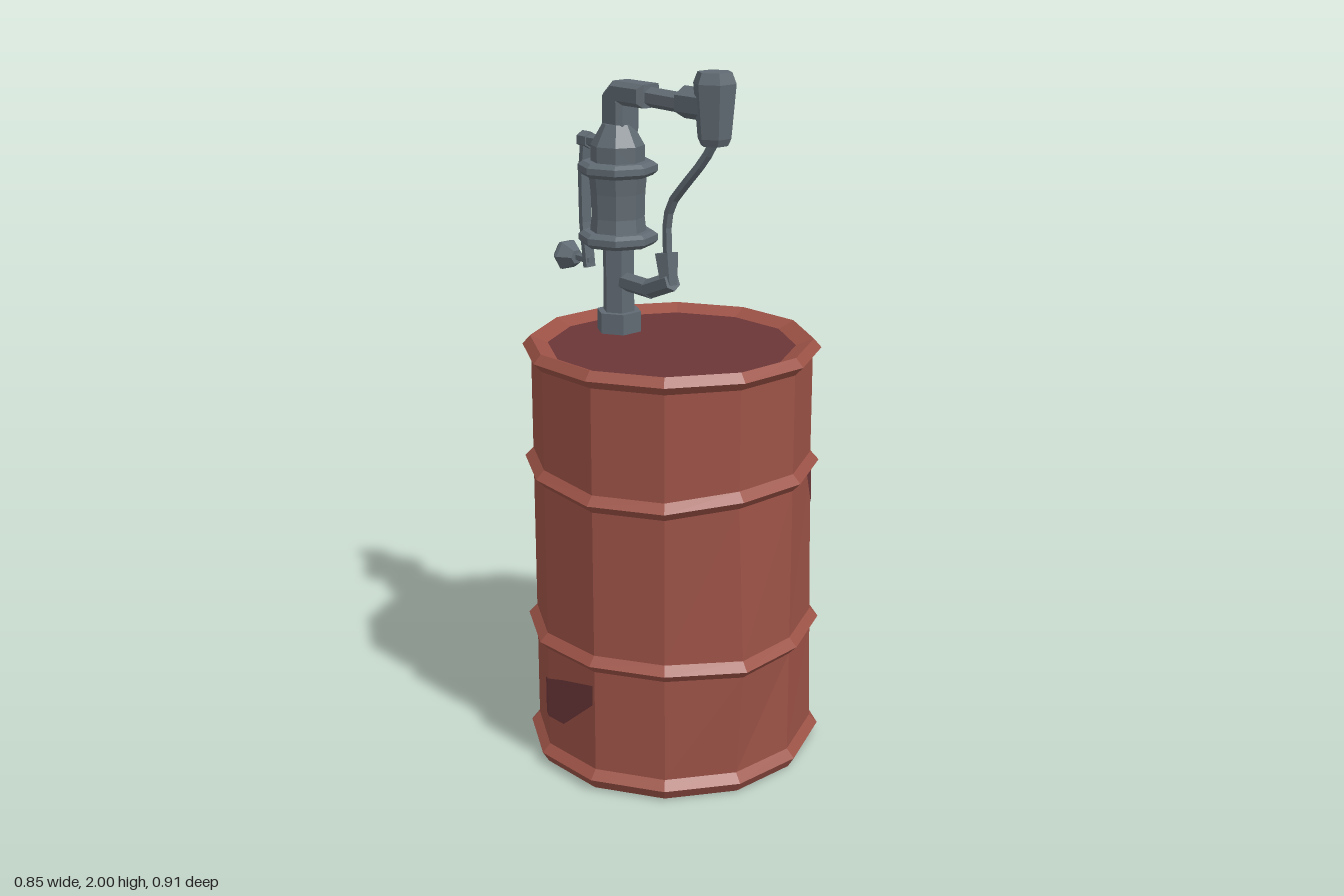
import * as THREE from 'three';

const mat = (name, color, extra = {}) => {
  const m = new THREE.MeshStandardMaterial({ color, flatShading: true, ...extra });
  m.name = name;
  return m;
};

export function createModel() {
  const rust = mat('rust red', 0x9c5246);
  const dark = mat('dark stain', 0x6c3638);
  const steel = mat('blue grey steel', 0x606a72);
  const group = new THREE.Group();
  const V = (x, y, z) => new THREE.Vector3(x, y, z);
  const add = (name, geo, material, parent = group) => {
    const m = new THREE.Mesh(geo, material);
    m.name = name;
    parent.add(m);
    return m;
  };

  // ---- Barrel: a dented twelve-sided drum, angles in degrees from the front towards +x
  const rows = [
    [0, 0], [0.405, 0.004], [0.424, 0.035], [0.4, 0.06],
    [0.4, 0.365], [0.424, 0.39], [0.4, 0.415],
    [0.4, 0.86], [0.424, 0.885], [0.4, 0.91],
    [0.4, 1.195], [0.424, 1.22], [0.402, 1.245], [0.352, 1.225], [0, 1.225],
  ];
  const vertex = (k, row) => {
    k = ((k % 12) + 12) % 12;
    const [r, y] = rows[row];
    const a = (15 + 30 * k) * Math.PI / 180;
    const p = V(-0.012 + r * Math.sin(a), y, 0.02 + r * Math.cos(a));
    if (r === 0) return p;
    if (k >= 1 && k <= 3) p.x += 0.025 * Math.max(0, 1 - y / 0.9);
    if (k === 11 && row >= 4 && row <= 6) p.z += 0.022;
    if ((k === 10 || k === 9) && row >= 7 && row <= 9) p.y -= 0.018;
    return p;
  };
  // Point on the drum at any angle, t of the way from one row to the next
  const onDrum = (deg, row, t) => {
    const u = (deg - 15) / 30, k = Math.floor(u + 1e-6), f = Math.max(0, u - k);
    const at = (i) => vertex(i, row).lerp(vertex(i + 1, row), 0).lerp(vertex(i + 1, row), f);
    const up = vertex(k, row + 1).lerp(vertex(k + 1, row + 1), f);
    return at(k).lerp(up, t);
  };
  const fromQuads = (quads) => {
    const pts = quads.flatMap(([a, b, c, d]) => [a, b, c, a, c, d]);
    const g = new THREE.BufferGeometry().setFromPoints(pts);
    g.computeVertexNormals();
    return g;
  };
  const band = (from, to) => {
    const quads = [];
    for (let r = from; r < to; r++) for (let k = 0; k < 12; k++) {
      quads.push([vertex(k, r), vertex(k + 1, r), vertex(k + 1, r + 1), vertex(k, r + 1)]);
    }
    return fromQuads(quads);
  };
  add('barrelShell', band(0, 13), rust);
  add('barrelLid', band(13, 14), dark);

  // ---- Stains: columns of [angle, bottom, top] laid on one band of the drum
  const stain = (name, row, cols) => {
    const y0 = rows[row][1], y1 = rows[row + 1][1];
    const all = [];
    cols.forEach((c, i) => {
      all.push(c);
      const n = cols[i + 1];
      if (!n) return;
      for (let e = -15; e < 375; e += 30) {
        if (e <= c[0] || e >= n[0]) continue;
        const f = (e - c[0]) / (n[0] - c[0]);
        all.push([e, c[1] + (n[1] - c[1]) * f, c[2] + (n[2] - c[2]) * f]);
      }
    });
    const lift = (deg, y) => {
      const p = onDrum(deg, row, (y - y0) / (y1 - y0));
      const a = deg * Math.PI / 180;
      return p.add(V(Math.sin(a) * 0.003, row < 2 ? -0.002 : 0, Math.cos(a) * 0.003));
    };
    const quads = [];
    for (let i = 0; i + 1 < all.length; i++) {
      const [a, al, ah] = all[i], [b, bl, bh] = all[i + 1];
      quads.push([lift(a, al), lift(b, bl), lift(b, bh), lift(a, ah)]);
    }
    add(name, fromQuads(quads), dark);
  };
  stain('rightStain', 6, [[38, 0.85, 0.86], [44, 0.76, 0.86], [58, 0.63, 0.86], [105, 0.63, 0.86],
    [122, 0.76, 0.86], [135, 0.79, 0.86], [140, 0.85, 0.86]]);
  stain('backStain', 9, [[117, 0.91, 0.92], [131, 0.91, 1.055], [172, 0.91, 1.055], [191, 0.91, 1.0]]);
  stain('sideStain', 3, [[250, 0.15, 0.26], [265, 0.15, 0.29], [284, 0.26, 0.32]]);
  stain('bottomRimStain', 1, [[25, 0.004, 0.034], [100, 0.004, 0.034]]);

  // Stain under the barrel
  const under = new THREE.Shape([[0.16, 0.3], [0.28, 0.31], [0.38, 0.13], [0.38, -0.02], [0.22, 0.06], [0.14, 0.2]]
    .map(([x, z]) => new THREE.Vector2(x, z)));
  add('undersideStain', new THREE.ShapeGeometry(under).rotateX(Math.PI / 2), dark).position.y = 0.001;

  // ---- Pump
  const pump = new THREE.Group();
  pump.name = 'handPump';
  group.add(pump);
  const turned = (name, pts, sides, x, z, spin = 0) => {
    const g = new THREE.LatheGeometry(pts.map(([r, y]) => new THREE.Vector2(r, y)), sides);
    const m = add(name, g, steel, pump);
    m.position.set(x, 0, z);
    m.rotation.y = spin;
    return m;
  };
  const bar = (name, a, b, r0, r1 = r0, sides = 6) => {
    const d = b.clone().sub(a);
    const m = add(name, new THREE.CylinderGeometry(r1, r0, d.length(), sides), steel, pump);
    m.position.copy(a).add(b).multiplyScalar(0.5);
    m.quaternion.setFromUnitVectors(V(0, 1, 0), d.normalize());
    return m;
  };
  const px = -0.022, pz = -0.195;

  // Standing pipe, flanges, cylinder and shoulder
  turned('pumpBase', [[0, 1.22], [0.067, 1.22], [0.067, 1.285], [0, 1.285]], 6, px, pz, Math.PI / 6);
  turned('pumpPipe', [[0.047, 1.27], [0.047, 1.49]], 6, px, pz, Math.PI / 6);
  turned('pumpCylinder', [[0.083, 1.5], [0.076, 1.56], [0.078, 1.63], [0.085, 1.7]], 8, px, pz);
  for (const [name, y] of [['lowerFlange', 1.48], ['upperFlange', 1.68]]) {
    turned(name, [[0, y], [0.1, y], [0.114, y + 0.012], [0.114, y + 0.03], [0.1, y + 0.04], [0, y + 0.04]], 8, px, pz);
  }
  turned('pumpShoulder', [[0.077, 1.71], [0.077, 1.765], [0.043, 1.825], [0, 1.825]], 8, px, pz);

  // Elbow over the top, cut from its side outline
  const outline = new THREE.Shape([[-0.168, 1.81], [-0.168, 1.893], [-0.08, 1.893], [-0.08, 1.932], [-0.19, 1.932],
    [-0.225, 1.9], [-0.225, 1.81]].map(([z, y]) => new THREE.Vector2(z, y)));
  const elbow = new THREE.ExtrudeGeometry(outline, {
    depth: 0.055, bevelEnabled: true, bevelSize: 0.013, bevelThickness: 0.015, bevelSegments: 1,
  });
  add('pumpElbow', elbow.rotateY(-Math.PI / 2), steel, pump).position.x = 0.018;

  // Arm, collar and hanging nozzle
  bar('spoutArm', V(-0.01, 1.91, -0.1), V(-0.006, 1.905, 0.09), 0.028);
  bar('spoutCollar', V(-0.006, 1.91, 0.065), V(-0.006, 1.91, 0.16), 0.044);
  const head = turned('nozzleBody', [[0, 0], [0.038, 0], [0.047, 0.02], [0.06, 0.165], [0.048, 0.195], [0, 0.195]],
    6, -0.003, 0.18, Math.PI / 6);
  head.position.y = 1.805;

  // Thin hose and its lower fitting
  const hx = -0.026;
  const hose = new THREE.CatmullRomCurve3([V(hx + 0.015, 1.82, 0.19), V(hx + 0.01, 1.77, 0.16), V(hx, 1.69, 0.09),
    V(hx, 1.635, 0.04), V(hx, 1.58, 0.02), V(hx, 1.47, 0.022)]);
  add('hose', new THREE.TubeGeometry(hose, 9, 0.014, 5), steel, pump);
  bar('hoseSocket', V(-0.03, 1.49, 0.018), V(-0.036, 1.395, 0.036), 0.024, 0.034, 5).rotateX(Math.PI);
  bar('lowerElbow', V(-0.036, 1.415, 0.05), V(-0.036, 1.375, -0.05), 0.028);
  bar('lowerPipe', V(-0.036, 1.376, -0.035), V(-0.025, 1.376, -0.18), 0.027);

  // Crank at the back
  const cx = -0.016;
  bar('crankShaft', V(cx, 1.762, -0.24), V(cx, 1.762, -0.325), 0.02);
  bar('crankHub', V(cx, 1.762, -0.32), V(cx, 1.762, -0.357), 0.025);
  const lever = [[1.775, -0.338], [1.66, -0.352], [1.52, -0.35], [1.39, -0.334]];
  for (let i = 0; i < 3; i++) {
    const [ya, za] = lever[i], [yb, zb] = lever[i + 1];
    const plate = add('crankLever', new THREE.BoxGeometry(0.034, Math.hypot(yb - ya, zb - za) + 0.004, 0.015), steel, pump);
    plate.position.set(cx, (ya + yb) / 2, (za + zb) / 2);
    plate.rotation.x = Math.atan2(za - zb, ya - yb);
  }
  bar('crankPin', V(cx, 1.41, -0.325), V(cx, 1.41, -0.4), 0.013);
  const knob = turned('crankKnob', [[0, 0], [0.022, 0], [0.046, 0.04], [0.046, 0.052], [0.03, 0.072], [0, 0.072]],
    6, px, -0.383, 0);
  knob.position.y = 1.41;
  knob.rotation.set(-Math.PI / 2, Math.PI / 6, 0);

  return group;
}
